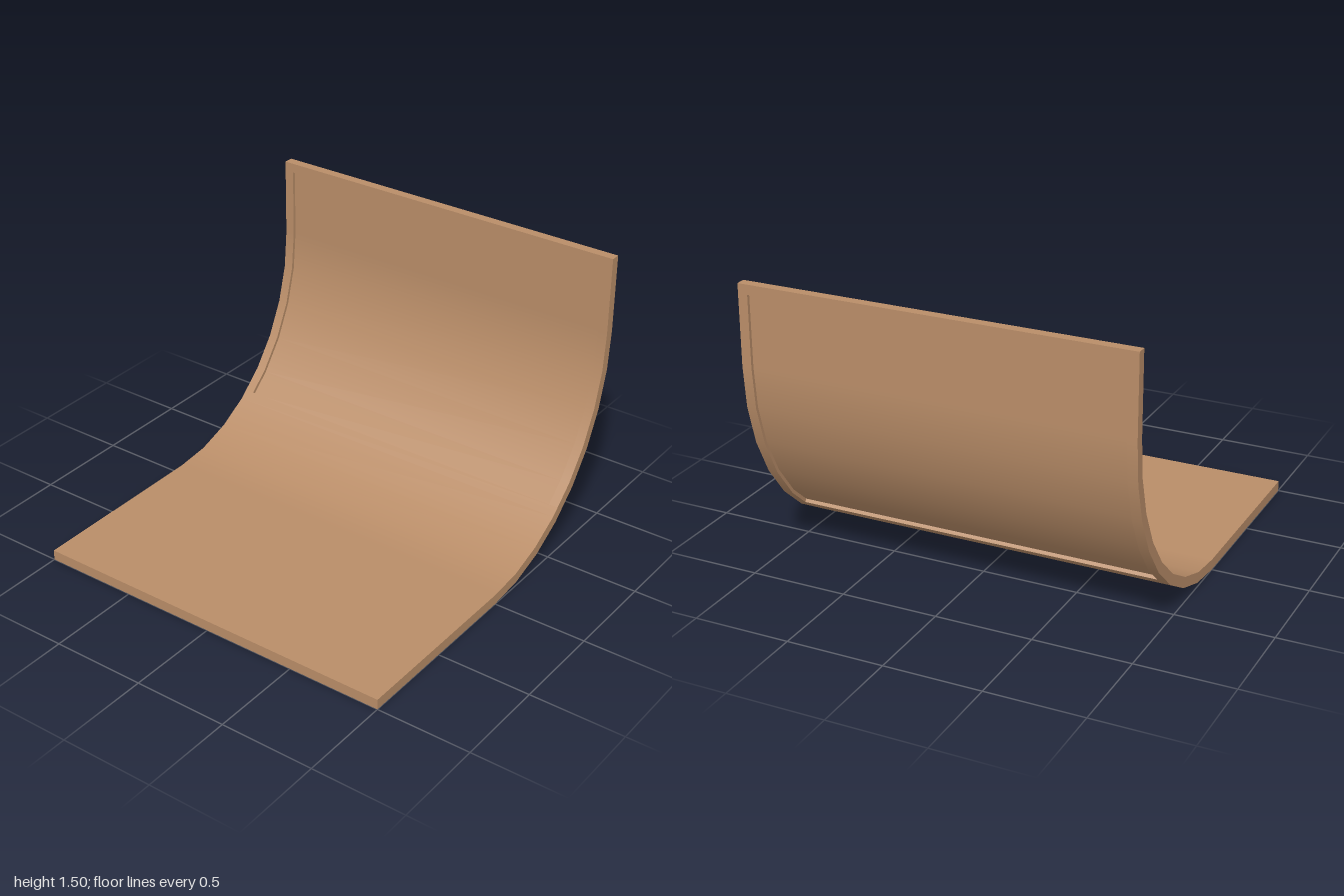
import * as THREE from 'three';

const HALF = 1;            // half width of the sheet
const PANEL = 0.95;        // half width of the recessed panel
const IN = 2 / 3, OUT = 1 / 3; // panel depth as a fraction of the thickness
const BEND = 1.085;        // height where the bend ends

// Cross-section rows: outer and inner [z, y] points plus the bend angle
function makeRows() {
  const arc = (deg) => {
    const a = THREE.MathUtils.degToRad(deg), s = Math.sin(a), c = 1 - Math.cos(a);
    return { a, outer: [-s, BEND * c], inner: [-0.95 * s, 0.055 + (BEND - 0.055) * c] };
  };
  const mix = (p, q, t) => p.map((v, i) => v + (q[i] - v) * t);
  const rows = [{ a: 0, outer: [1, 0], inner: [1, 0.055] }];
  for (let i = 0; i <= 8; i++) {
    rows.push(arc(i * 11.25));
    if (i === 3) { // lower edge of the panel
      const p = arc(33.75), q = arc(45), t = 0.27;
      rows.push({ a: p.a + (q.a - p.a) * t, outer: mix(p.outer, q.outer, t), inner: mix(p.inner, q.inner, t) });
    }
  }
  for (const y of [1.45, 1.5]) rows.push({ a: Math.PI / 2, outer: [-1, y], inner: [-0.95, y] });
  return rows;
}

const rows = makeRows();
const CUT = 5, TOP_CUT = 11, TOP = 12;

// Point at width x, row r, depth s (0 outside, 1 inside)
function point(x, r, s) {
  const { outer, inner } = rows[r];
  return new THREE.Vector3(x, outer[1] + (inner[1] - outer[1]) * s, outer[0] + (inner[0] - outer[0]) * s);
}

// Smooth normal of the bent surface; side is 1 inside, -1 outside
function bendNormal(r, side) {
  const a = rows[r].a;
  return new THREE.Vector3(0, Math.cos(a) / BEND, Math.sin(a)).normalize().multiplyScalar(side);
}

class Surface {
  constructor() { this.pos = []; this.nor = []; }

  // Quad whose winding follows the given corner normals
  quad(p, n) {
    const face = p[1].clone().sub(p[0]).cross(p[2].clone().sub(p[0]));
    const order = face.dot(n[0]) > 0 ? [0, 1, 2, 0, 2, 3] : [0, 2, 1, 0, 3, 2];
    for (const i of order) {
      this.pos.push(...p[i].toArray());
      this.nor.push(...n[i].toArray());
    }
  }

  // Smooth bent strip between two rows
  skin(r0, r1, x0, x1, s, side) {
    for (let r = r0; r < r1; r++) {
      const a = bendNormal(r, side), b = bendNormal(r + 1, side);
      this.quad([point(x0, r, s), point(x1, r, s), point(x1, r + 1, s), point(x0, r + 1, s)], [a, a, b, b]);
    }
  }

  // Wall in the plane of the cross-section
  sideWall(r0, r1, x, s0, s1, dir) {
    const n = new THREE.Vector3(dir, 0, 0);
    for (let r = r0; r < r1; r++)
      this.quad([point(x, r, s0), point(x, r, s1), point(x, r + 1, s1), point(x, r + 1, s0)], [n, n, n, n]);
  }

  // Wall across the width, facing along the profile (dir 1 up, -1 down)
  crossWall(r, half, s0, s1, dir) {
    const a = rows[r].a;
    const n = new THREE.Vector3(0, Math.sin(a), -Math.cos(a)).multiplyScalar(dir);
    this.quad([point(-half, r, s0), point(half, r, s0), point(half, r, s1), point(-half, r, s1)], [n, n, n, n]);
  }

  mesh(name, material) {
    const g = new THREE.BufferGeometry();
    g.setAttribute('position', new THREE.Float32BufferAttribute(this.pos, 3));
    g.setAttribute('normal', new THREE.Float32BufferAttribute(this.nor, 3));
    const m = new THREE.Mesh(g, material);
    m.name = name;
    return m;
  }
}

export function createModel() {
  const group = new THREE.Group();
  group.name = 'curvedSheet';
  const wood = new THREE.MeshStandardMaterial({ color: 0xb98d68 });
  wood.name = 'warm tan';

  const base = new Surface(), frame = new Surface(), panel = new Surface();

  // Flat base and lower bend
  for (const [s, side] of [[0, -1], [1, 1]]) base.skin(0, CUT, -HALF, HALF, s, side);
  base.crossWall(0, HALF, 0, 1, -1);
  for (const d of [-1, 1]) base.sideWall(0, CUT, d * HALF, 0, 1, d);

  // Raised border: two stiles, a top rail and the outer edges
  for (const [s, side] of [[0, -1], [1, 1]]) {
    for (const d of [-1, 1]) frame.skin(CUT, TOP_CUT, d * PANEL, d * HALF, s, side);
    frame.skin(TOP_CUT, TOP, -HALF, HALF, s, side);
  }
  for (const d of [-1, 1]) frame.sideWall(CUT, TOP, d * HALF, 0, 1, d);
  frame.crossWall(TOP, HALF, 0, 1, 1);

  // Recess walls on both faces
  for (const [s0, s1] of [[0, OUT], [IN, 1]]) {
    for (const d of [-1, 1]) frame.sideWall(CUT, TOP_CUT, d * PANEL, s0, s1, -d);
    frame.crossWall(CUT, PANEL, s0, s1, 1);
    frame.crossWall(TOP_CUT, PANEL, s0, s1, -1);
  }

  // Recessed panel, visible from both sides
  panel.skin(CUT, TOP_CUT, -PANEL, PANEL, OUT, -1);
  panel.skin(CUT, TOP_CUT, -PANEL, PANEL, IN, 1);

  group.add(base.mesh('base', wood), frame.mesh('backFrame', wood), panel.mesh('recessedPanel', wood));
  return group;
}
